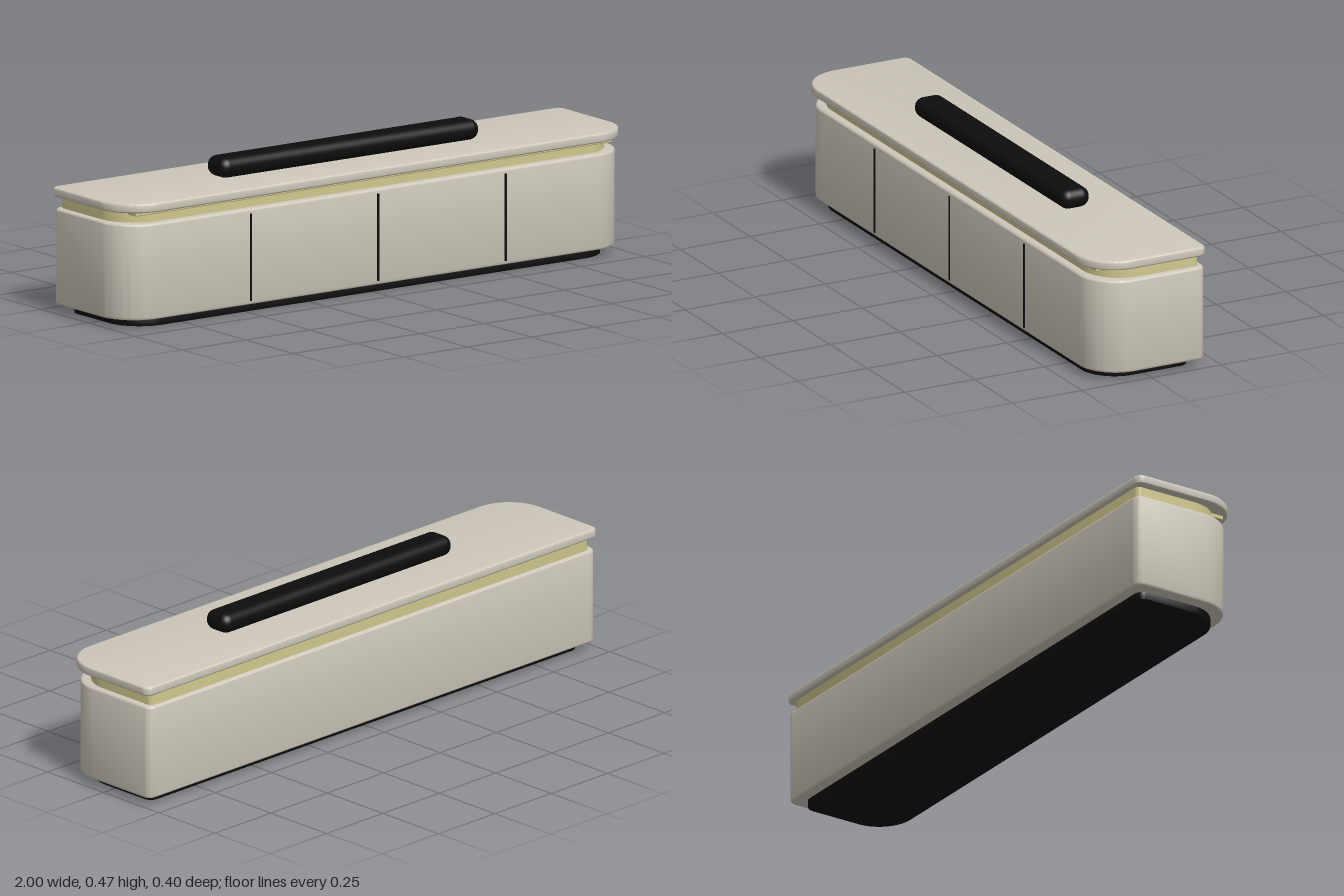
import * as THREE from 'three';
import { toCreasedNormals } from 'three/addons/utils/BufferGeometryUtils.js';
import { RoundedBoxGeometry } from 'three/addons/geometries/RoundedBoxGeometry.js';

const material = (name, color) => {
  const m = new THREE.MeshStandardMaterial({ color });
  m.name = name;
  return m;
};

// Horizontal slab with wide front corners, tight back corners and softened edges
function slabGeometry(halfX, back, front, y0, y1, frontR, backR, bevel) {
  const s = new THREE.Shape();
  const f = -front, b = -back; // shape y is -z
  s.moveTo(-halfX + frontR, f);
  s.lineTo(halfX - frontR, f);
  s.absarc(halfX - frontR, f + frontR, frontR, -Math.PI / 2, 0, false);
  s.lineTo(halfX, b - backR);
  s.absarc(halfX - backR, b - backR, backR, 0, Math.PI / 2, false);
  s.lineTo(-halfX + backR, b);
  s.absarc(-halfX + backR, b - backR, backR, Math.PI / 2, Math.PI, false);
  s.lineTo(-halfX, f + frontR);
  s.absarc(-halfX + frontR, f + frontR, frontR, Math.PI, Math.PI * 1.5, false);
  const g = new THREE.ExtrudeGeometry(s, {
    depth: y1 - y0 - 2 * bevel,
    curveSegments: 12,
    bevelEnabled: bevel > 0,
    bevelThickness: bevel,
    bevelSize: bevel,
    bevelOffset: -bevel,
    bevelSegments: 3,
  });
  g.rotateX(-Math.PI / 2);
  g.translate(0, y0 + bevel, 0);
  return toCreasedNormals(g, 0.6);
}

export function createModel() {
  const group = new THREE.Group();
  const beige = material('warm beige', 0xcec8bb);
  const gold = material('pale gold', 0xd0c88e);
  const black = material('black', 0x0d0d0d);

  const add = (name, geometry, mat, x = 0, y = 0, z = 0) => {
    const mesh = new THREE.Mesh(geometry, mat);
    mesh.name = name;
    mesh.position.set(x, y, z);
    group.add(mesh);
  };

  // Stacked slabs from floor to countertop
  add('plinth', slabGeometry(0.95, -0.162, 0.162, 0, 0.03, 0.12, 0.03, 0.003), black);
  add('body', slabGeometry(0.993, -0.2, 0.187, 0.027, 0.337, 0.13, 0.03, 0.008), beige);
  add('recessedNeck', slabGeometry(0.972, -0.187, 0.16, 0.33, 0.38, 0.13, 0.02, 0), gold);
  add('countertop', slabGeometry(1, -0.2, 0.2, 0.376, 0.406, 0.135, 0.025, 0.006), beige);

  // Light strip tucked under the front of the countertop
  add('lightStrip', new RoundedBoxGeometry(1.87, 0.014, 0.045, 2, 0.003), gold, 0, 0.37, 0.1425);

  // Seams between the front panels
  for (const x of [-0.5, 0, 0.5]) {
    add('panelSeam', new THREE.BoxGeometry(0.007, 0.282, 0.008), black, x, 0.181, 0.186);
  }

  // Rounded bar lying on the countertop
  add('topBar', new RoundedBoxGeometry(1.016, 0.066, 0.102, 5, 0.031), black, 0, 0.439, 0);

  return group;
}
